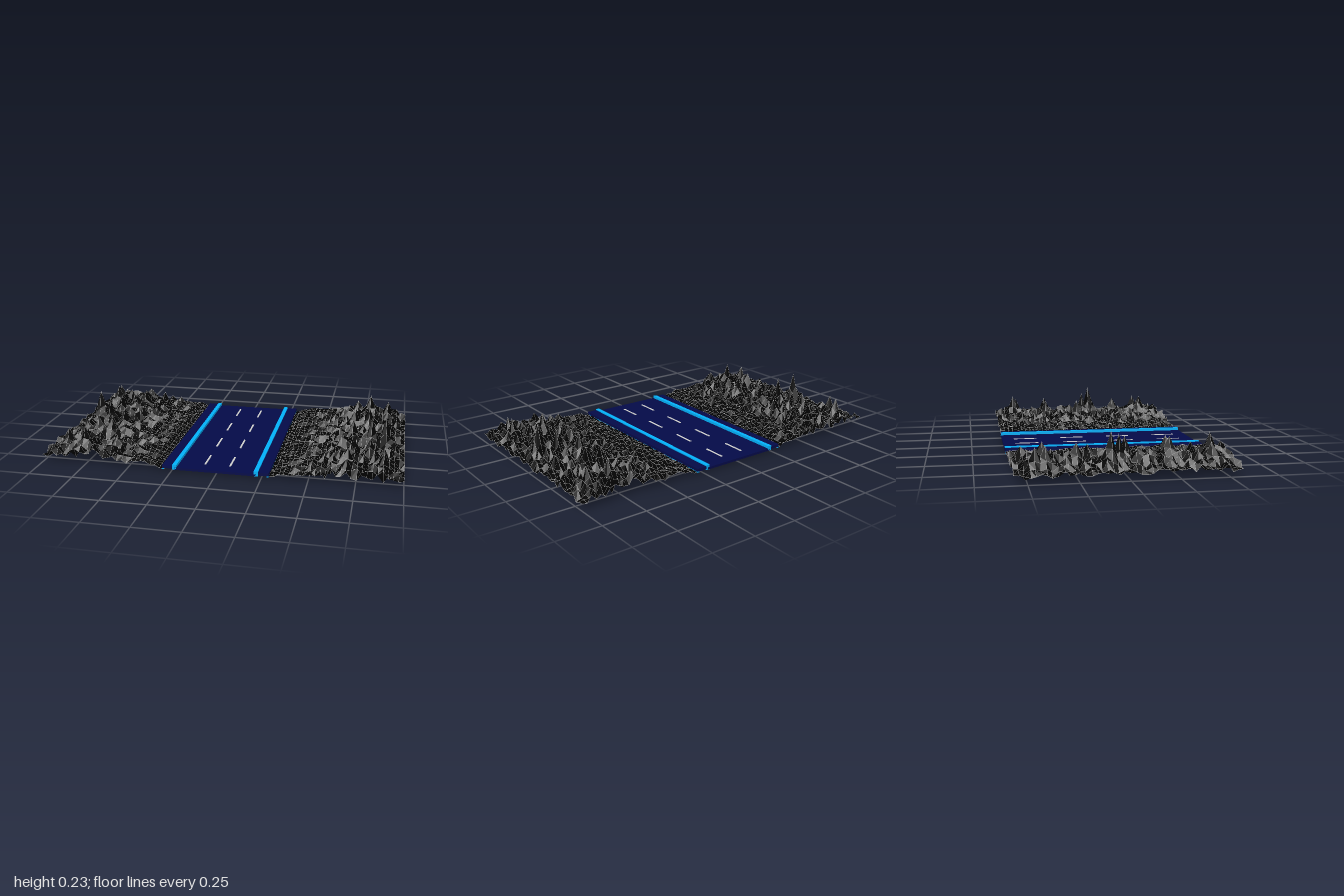
import * as THREE from 'three';

const material = (color, extra = {}) => new THREE.MeshStandardMaterial({ color, ...extra });
const NX = 26, NZ = 42, WIDTH = 0.712, DEPTH = 1.133, START = 0.288, WIRE = 0.0011;

// Repeatable hash in 0..1 for a grid point
function hash(i, j, k = 0) {
  const s = Math.sin(i * 127.1 + j * 311.7 + k * 74.7) * 43758.5453;
  return s - Math.floor(s);
}

// Mountain peaks: x, z, height, radius, with x and z snapped to the grid
const snap = (value, step) => Math.round(value / step) * step;
const PEAKS = [
  [0.885, 0.09, 0.228, 0.07], [0.8, 0.025, 0.2, 0.06], [0.7, -0.02, 0.165, 0.07],
  [0.79, -0.24, 0.175, 0.09], [0.79, -0.46, 0.19, 0.09], [0.88, -0.42, 0.16, 0.08],
  [0.9, 0.41, 0.165, 0.08], [0.88, 0.47, 0.16, 0.08], [0.7, -0.25, 0.165, 0.08],
  [0.8, 0.25, 0.16, 0.08], [0.65, 0.17, 0.12, 0.07], [0.7, 0.52, 0.13, 0.08],
  [0.71, -0.54, 0.125, 0.08], [0.69, 0.4, 0.15, 0.08], [0.63, -0.4, 0.11, 0.06]
].map(([x, z, h, r]) => [START + snap(x - START, WIDTH / NX), snap(z, DEPTH / NZ), h, r]);

// Terrain height: low rough ground by the road, rising to sharp peaks outside
function heightAt(x, z, i, j) {
  const t = THREE.MathUtils.clamp((x - 0.29) / 0.4, 0, 1);
  const rise = Math.min(1, t * 5);
  const fade = THREE.MathUtils.clamp((1.08 - x) / 0.2, 0.45, 1);
  const base = 0.013 + 0.011 * rise - 0.004 * t;
  let h = base + (0.006 + 0.016 * rise) * hash(i, j, 3) + 0.08 * t ** 1.5 * fade * hash(i, j) ** 1.4;
  for (const [px, pz, top, r] of PEAKS) {
    const d = Math.hypot(x - px, z - pz);
    const rough = d < 0.01 ? 1 : 0.72 + 0.28 * hash(i, j, 5);
    h = Math.max(h, base + (top - base) * Math.max(0, 1 - d / r) * rough);
  }
  return h;
}

// Height is read at the even grid point, then the point is nudged sideways
function terrainGeometry() {
  const g = new THREE.PlaneGeometry(WIDTH, DEPTH, NX, NZ).rotateX(-Math.PI / 2).translate(START + WIDTH / 2, 0, 0);
  const p = g.attributes.position;
  for (let j = 0; j <= NZ; j++) {
    for (let i = 0; i <= NX; i++) {
      const n = j * (NX + 1) + i, x = p.getX(n), z = p.getZ(n);
      const inner = i > 0 && i < NX ? 1 : 0;
      const dx = inner * (hash(i, j, 7) - 0.5) * 0.006, dz = (hash(i, j, 9) - 0.5) * 0.005;
      p.setXYZ(n, x + dx, heightAt(x, z, i, j), z + dz);
    }
  }
  g.computeVertexNormals();
  return g;
}

// Thin diamond-section wires along every row and column of the terrain
function wireGeometry(terrain) {
  const src = terrain.attributes.position, pos = [], index = [];
  const addLine = (points, alongX) => {
    points.forEach((n, s) => {
      const x = src.getX(n), y = src.getY(n), z = src.getZ(n), base = pos.length / 3;
      for (let c = 0; c < 4; c++) {
        const a = c * Math.PI / 2, side = Math.cos(a) * WIRE;
        pos.push(x + (alongX ? 0 : side), y + Math.sin(a) * WIRE, z + (alongX ? side : 0));
        if (s > 0) {
          const d = (c + 1) % 4, a0 = base - 4 + c, a1 = base - 4 + d, b0 = base + c, b1 = base + d;
          index.push(a0, b0, b1, a0, b1, a1);
        }
      }
    });
  };
  for (let j = 0; j <= NZ; j++) addLine(Array.from({ length: NX + 1 }, (_, i) => j * (NX + 1) + i), true);
  for (let i = 0; i <= NX; i++) addLine(Array.from({ length: NZ + 1 }, (_, j) => j * (NX + 1) + i), false);
  const g = new THREE.BufferGeometry();
  g.setAttribute('position', new THREE.Float32BufferAttribute(pos, 3));
  g.setIndex(index);
  g.computeVertexNormals();
  return g;
}

export function createModel() {
  const model = new THREE.Group();
  model.name = 'roadThroughMountains';
  const navy = material(0x040a48), cyan = material(0x02b0f8), grey = material(0xcccccc);
  const ground = material(0x020202, { flatShading: true, side: THREE.DoubleSide });
  const wire = material(0xaaaaaa, { side: THREE.DoubleSide });

  // Box given by its limits on each axis
  const box = (name, mat, x0, x1, y0, y1, z0, z1, parent) => {
    const mesh = new THREE.Mesh(new THREE.BoxGeometry(x1 - x0, y1 - y0, z1 - z0), mat);
    mesh.position.set((x0 + x1) / 2, (y0 + y1) / 2, (z0 + z1) / 2);
    mesh.name = name;
    parent.add(mesh);
  };

  // Road with shoulders, glowing rails and outer trims
  const road = new THREE.Group();
  road.name = 'road';
  road.position.x = -0.005;
  model.add(road);
  const z = 0.567;
  box('roadSurface', navy, -0.225, 0.225, 0.012, 0.025, -z, z, road);
  for (const s of [-1, 1]) {
    const strip = (name, mat, a, b, y0, y1) =>
      box(name, mat, Math.min(s * a, s * b), Math.max(s * a, s * b), y0, y1, -z, z, road);
    strip('shoulder', navy, 0.238, 0.296, 0.018, 0.034);
    strip('rail', cyan, 0.215, 0.238, 0.012, 0.04);
    strip('outerTrim', cyan, 0.285, 0.296, 0.012, 0.018);
    // Lane dashes
    for (const c of [-0.43, -0.1475, 0.1375, 0.4225]) {
      box('laneDash', grey, s * 0.07 - 0.005, s * 0.07 + 0.005, 0, 0.028, c - 0.068, c + 0.068, road);
    }
  }

  // Terrain on the left, turned half round for the right
  const land = terrainGeometry(), wires = wireGeometry(land);
  for (const [name, turn] of [['leftTerrain', 0], ['rightTerrain', Math.PI]]) {
    const side = new THREE.Group();
    side.name = name;
    side.rotation.y = turn;
    const surface = new THREE.Mesh(land, ground);
    surface.name = 'mountains';
    const grid = new THREE.Mesh(wires, wire);
    grid.name = 'gridWires';
    side.add(surface, grid);
    model.add(side);
  }
  return model;
}
